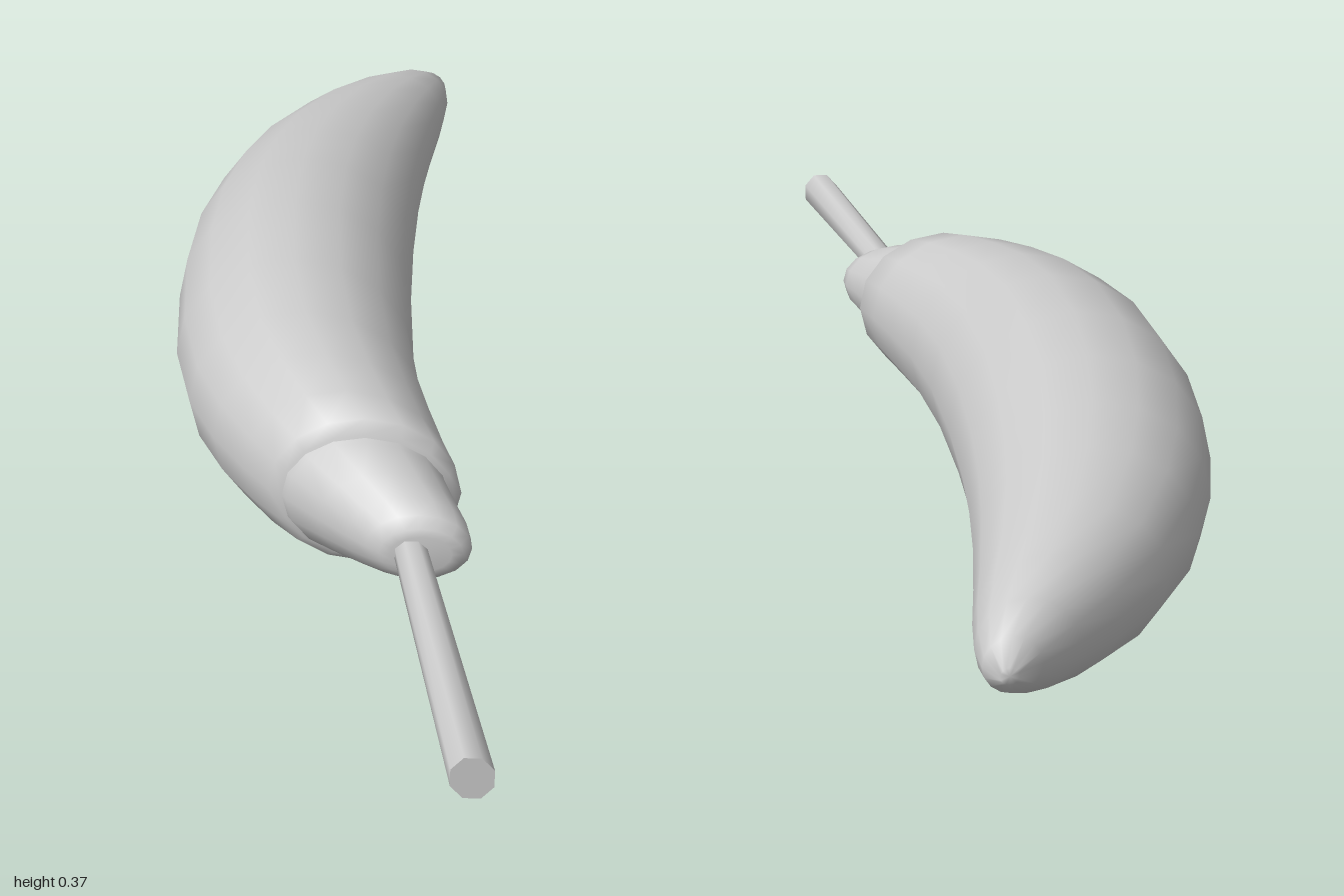
import * as THREE from 'three';
import { toCreasedNormals } from 'three/addons/utils/BufferGeometryUtils.js';

const material = new THREE.MeshStandardMaterial({ color: 0xcccccc });
const CENTRE_Y = 0.185;

// Closed skin over elliptical sections [z, xMin, xMax, halfHeight], ordered from back to front.
function loft(name, sections, sides, crease, turn = 0) {
  const positions = [], index = [];
  for (const [z, x0, x1, ry] of sections) {
    for (let j = 0; j < sides; j++) {
      const a = ((j + turn) / sides) * Math.PI * 2;
      positions.push((x0 + x1) / 2 + ((x1 - x0) / 2) * Math.cos(a), CENTRE_Y + ry * Math.sin(a), z);
    }
  }
  const last = (sections.length - 1) * sides;
  const back = positions.length / 3;
  for (const [z, x0, x1] of [sections[0], sections[sections.length - 1]]) {
    positions.push((x0 + x1) / 2, CENTRE_Y, z);
  }
  for (let j = 0; j < sides; j++) {
    const k = (j + 1) % sides;
    for (let r = 0; r < last; r += sides) {
      index.push(r + j, r + k, r + sides + k, r + j, r + sides + k, r + sides + j);
    }
    index.push(back, k, j, back + 1, last + j, last + k);
  }
  const geometry = new THREE.BufferGeometry();
  geometry.setAttribute('position', new THREE.Float32BufferAttribute(positions, 3));
  geometry.setIndex(index);
  const mesh = new THREE.Mesh(toCreasedNormals(geometry, crease), material);
  mesh.name = name;
  return mesh;
}

export function createModel() {
  const group = new THREE.Group();
  group.name = 'pepper';

  // Curved fruit, from the pointed tip to the lip around the cap
  group.add(loft('fruit', [
    [-1.0, 0.14, 0.165, 0.012],
    [-0.97, 0.105, 0.184, 0.04],
    [-0.92, 0.05, 0.187, 0.068],
    [-0.85, -0.02, 0.18, 0.093],
    [-0.75, -0.1, 0.165, 0.118],
    [-0.62, -0.17, 0.148, 0.142],
    [-0.5, -0.212, 0.137, 0.158],
    [-0.36, -0.242, 0.13, 0.174],
    [-0.2, -0.253, 0.128, 0.183],
    [-0.02, -0.243, 0.134, 0.178],
    [0.12, -0.212, 0.15, 0.166],
    [0.22, -0.168, 0.172, 0.153],
    [0.3, -0.118, 0.192, 0.14],
    [0.355, -0.077, 0.209, 0.127],
    [0.37, -0.06, 0.2, 0.11],
  ], 16, 1.2));

  // Tapered cap at the stem end
  group.add(loft('cap', [
    [0.34, -0.075, 0.185, 0.108],
    [0.38, -0.05, 0.192, 0.102],
    [0.43, 0.0, 0.208, 0.084],
    [0.47, 0.042, 0.222, 0.069],
    [0.495, 0.07, 0.224, 0.056],
    [0.51, 0.09, 0.212, 0.042],
    [0.513, 0.105, 0.195, 0.03],
  ], 16, 1.2));

  // Leaning stem that widens slightly to a flat cut end
  group.add(loft('stem', [
    [0.48, 0.106, 0.156, 0.024],
    [1.0, 0.19, 0.252, 0.036],
  ], 8, 1, 0.5));

  return group;
}
